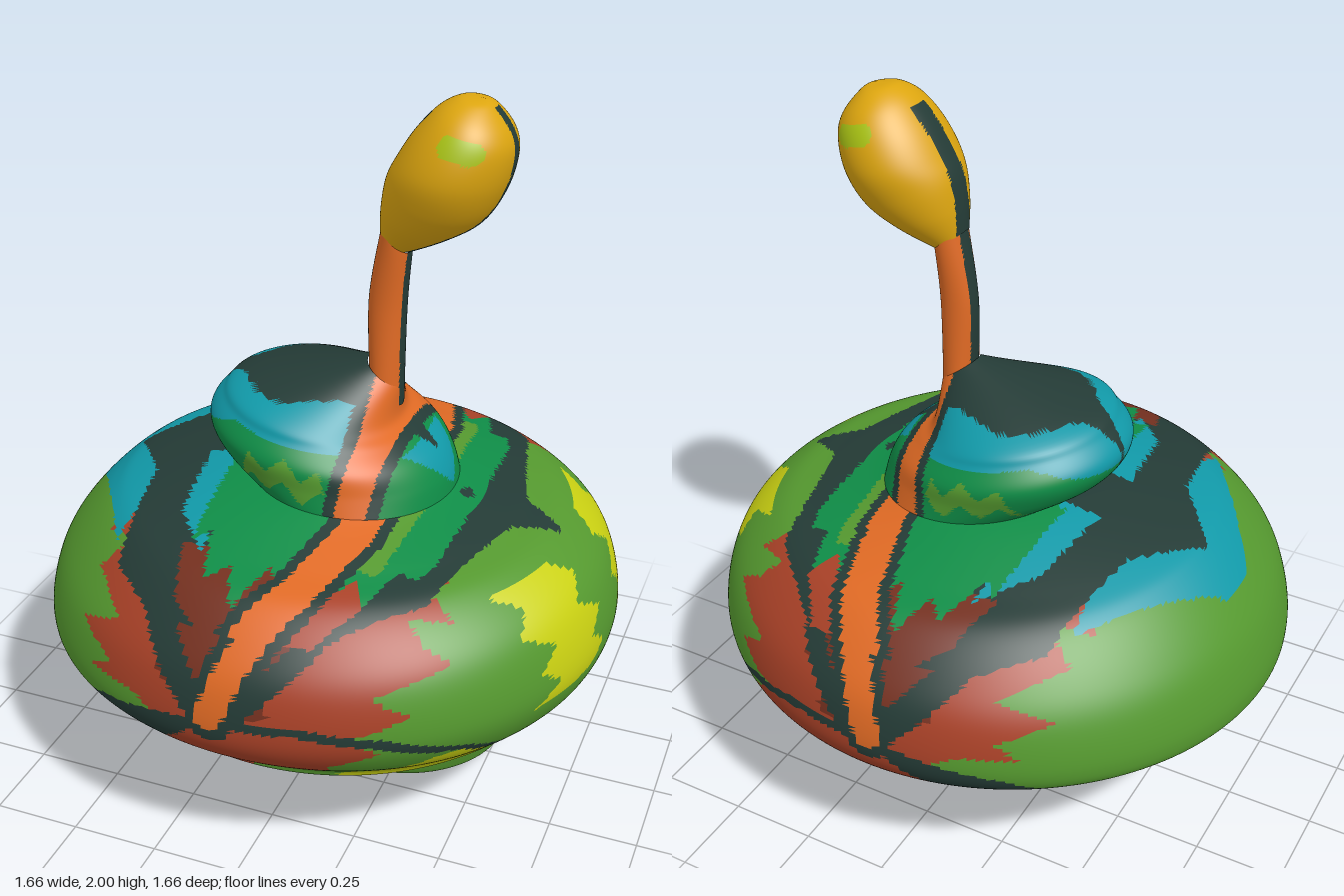
import * as THREE from 'three';

const COLORS = {
  leafGreen: 0x55992f, darkPine: 0x243b36, rust: 0xa94127, darkRust: 0x74301f, orange: 0xe06a24,
  teal: 0x1199a8, emerald: 0x0f8d47, yellow: 0xc9d012, gold: 0xdca50f, lime: 0xaac414,
};
const NAMES = Object.keys(COLORS);

// Point in polygon, and distance to a polyline, for painted patches
function inside(p, q, poly) {
  let hit = false;
  poly.forEach(([a, b], i) => {
    const [c, d] = poly.at(i - 1);
    if ((b > q) !== (d > q) && p < ((c - a) * (q - b)) / (d - b) + a) hit = !hit;
  });
  return hit;
}
function nearLine(p, q, pts, width) {
  return pts.slice(1).some(([c, d], i) => {
    const [a, b] = pts[i], dx = c - a, dy = d - b;
    const t = THREE.MathUtils.clamp(((p - a) * dx + (q - b) * dy) / (dx * dx + dy * dy), 0, 1);
    return Math.hypot(p - a - t * dx, q - b - t * dy) < width / 2;
  });
}

// Zigzag for flame-like edges
const zigzag = (t) => Math.asin(Math.sin(t * 60)) * 0.5 + Math.sin(t * 23) * 0.3;

// Patches lie on a plane of projection, mirrored in z; later ones lie on top
const patch = (color, plane, pts, opts = {}) => ({ color, plane, pts, ...opts });
function paint(base, patches, x, y, z) {
  let color = base;
  for (const { color: next, plane, pts, width, jag = 0, jagUp = 0 } of patches) {
    if (plane === 'side' && x < 0.15) continue;
    const p = plane === 'side' ? z : x, q = plane === 'top' ? z : y;
    const hit = width ? nearLine(p, q, pts, width) : inside(p + jag * zigzag(q), q + jagUp * zigzag(p), pts);
    if (hit) color = next;
  }
  return color;
}
// Orange vein edged with a dark line on each side
const vein = (plane, pts, width) => [
  patch('darkPine', plane, pts, { width: width + 0.06 }),
  patch('orange', plane, pts, { width }),
];

// Smooth loft through tilted rings [leftX, leftY, rightX, rightY, halfDepth]
function loft(name, rows, sectors, steps, colorAt, materials) {
  const pos = [], n = (rows.length - 1) * steps;
  const row = (j) => rows[THREE.MathUtils.clamp(j, 0, rows.length - 1)];
  for (let i = 0; i <= n; i++) {
    const k = Math.min(Math.floor(i / steps), rows.length - 2), t = i / steps - k;
    const [xl, yl, xr, yr, hz] = rows[0].map((_, c) => {
      const [a, b, d, e] = [-1, 0, 1, 2].map((o) => row(k + o)[c]);
      return b + 0.5 * t * (d - a + t * (2 * a - 5 * b + 4 * d - e + t * (3 * (b - d) + e - a)));
    });
    for (let s = 0; s < sectors; s++) {
      const a = (s / sectors) * Math.PI * 2, c = Math.cos(a);
      pos.push((xl + xr) / 2 + ((xr - xl) / 2) * c, Math.max(0, (yl + yr) / 2 + ((yr - yl) / 2) * c), hz * Math.sin(a));
    }
  }
  const buckets = NAMES.map(() => []);
  const face = (...v) => {
    const [x, y, z] = [0, 1, 2].map((c) => v.reduce((sum, i) => sum + pos[i * 3 + c], 0) / 3);
    buckets[NAMES.indexOf(colorAt(x, y, Math.abs(z)))].push(...v);
  };
  for (let i = 0; i < n; i++) for (let s = 0; s < sectors; s++) {
    const a = i * sectors + s, b = i * sectors + ((s + 1) % sectors);
    face(a, a + sectors, b);
    face(b, a + sectors, b + sectors);
  }
  const geo = new THREE.BufferGeometry();
  geo.setAttribute('position', new THREE.Float32BufferAttribute(pos, 3));
  geo.setIndex(buckets.flat());
  let start = 0;
  buckets.forEach((b, i) => {
    if (b.length) geo.addGroup(start, b.length, i);
    start += b.length;
  });
  geo.computeVertexNormals();
  const mesh = new THREE.Mesh(geo, materials);
  mesh.name = name;
  return mesh;
}

// Yellow flashes on the flank
const flank = patch('yellow', 'side', [[.36, .8], [.13, .8], [.13, .51], [.36, .5]], { jag: .05 });

// Upper face of the body
const bodyTop = [
  patch('rust', 'top', [[-.47, .4], [-.4, .75], [-.3, .9], [.5, .9], [.44, .4]], { jag: .06 }),
  patch('teal', 'top', [[-.76, 0], [-.45, .49], [-.4, 0]]),
  patch('darkPine', 'top', [[-.62, 0], [-.47, .2], [-.41, .56], [-.1, .83], [.1, .82], [.44, .5], [.5, .25], [.55, .08], [.68, 0]]),
  patch('darkRust', 'top', [[-.24, .5], [-.19, .66], [-.05, .77], [.1, .5]]),
  patch('teal', 'top', [[-.34, .1], [-.3, .38], [-.18, .53], [-.2, .1]]),
  patch('emerald', 'top', [[-.25, .1], [-.22, .5], [-.03, .62], [.1, .58], [.12, .1]], { jagUp: .07 }),
  patch('emerald', 'top', [[.2, 0], [.18, .6], [.3, .55], [.42, .35], [.44, 0]], { jagUp: .05 }),
  patch('leafGreen', 'top', [[.2, .1], [.2, .53], [.3, .42], [.33, .1]], { jagUp: .05 }),
  patch('rust', 'top', [[.25, .5], [.12, .73], [.2, .72], [.3, .58]]),
  ...vein('top', [[.2, .1], [.19, .35], [.12, .6], [.02, .77]], .1),
  flank,
];

// Rim and underside of the body
const bodyRim = [
  patch('rust', 'front', [[-.45, .85], [-.38, .56], [.42, .56], [.5, .82]], { jag: .08 }),
  patch('darkRust', 'front', [[-.18, .8], [-.14, .6], [.1, .58], [.19, .8]], { jag: .05 }),
  patch('rust', 'front', [[-.2, .56], [-.22, .3], [.08, .33], [.32, .45], [.36, .56]], { jag: .06 }),
  patch('yellow', 'front', [[.25, .26], [.34, .38], [.6, .46], [.65, .36], [.5, .26]], { jag: .05 }),
  patch('darkPine', 'front', [[-.02, .57], [-.39, .49], [-.7, .31], [-.2, .2], [-.05, .25], [-.25, .32], [-.2, .42]]),
  patch('darkPine', 'front', [[-.02, .56], [.2, .565], [.4, .53], [.58, .46], [.72, .31]], { width: .026 }),
  patch('darkPine', 'front', [[-.24, .78], [-.05, .57]], { width: .08 }),
  patch('darkPine', 'front', [[.22, .78], [.02, .57]], { width: .06 }),
  ...vein('front', [[.08, .8], [.02, .7], [-.03, .57]], .08),
  flank,
];

const footPaint = [patch('yellow', 'front', [[-.08, .27], [-.07, .2], [.4, .19], [.4, .27]], { jagUp: .03 })];

const lobePaint = [
  patch('leafGreen', 'front', [[-.18, .97], [-.14, 1.03], [.07, 1.03], [.09, .96]], { jagUp: .03 }),
  patch('teal', 'front', [[-.4, 1.04], [-.2, 1.11], [.14, 1.06], [.25, 1.3], [-.4, 1.3]]),
  patch('darkPine', 'top', [[-.37, 0], [-.25, .06], [-.17, .17], [-.08, .21], [.17, .12], [.17, 0]]),
  patch('teal', 'side', [[0, 1.04], [.14, 1.03], [0, .9]]),
  patch('darkPine', 'side', [[0, 1.12], [.04, 1.06], [0, 1]]),
  ...vein('front', [[.18, 1.22], [.18, 1.07], [.15, .86]], .08),
];

const bulbPaint = [patch('lime', 'front', [[.35, 1.905], [.41, 1.89]], { width: .055 })];

// Dark seam along both ends of the foot, and its dark sloping base
function footColor(x, y, z) {
  const seam = z < (x < 0 ? .08 : .012), slope = y < .055;
  return y > .004 && (seam || slope) ? 'darkPine' : paint('leafGreen', footPaint, x, y, z);
}
// Dark stripe up each side of the bulb, widest near the stem
function bulbColor(x, y, z) {
  const right = x > .2 + (y - 1.6) * .5;
  const half = right ? .018 + .04 * Math.exp(-(((y - 1.64) / .07) ** 2)) : .035;
  return z < half && (right ? y < 1.98 : x < .27) ? 'darkPine' : paint('gold', bulbPaint, x, y, z);
}

export function createModel() {
  const materials = NAMES.map((name) => {
    const m = new THREE.MeshStandardMaterial({ color: COLORS[name] });
    m.name = name;
    return m;
  });
  const model = new THREE.Group();
  model.name = 'gourdOrnament';
  const add = (name, rows, sectors, steps, colorAt) => model.add(loft(name, rows, sectors, steps, colorAt, materials));

  // Small foot with a sloping base
  add('foot', [[.055, 0, .055, 0, 0], [-.03, 0, .14, 0, .07], [-.1, .06, .48, .06, .27], [-.122, .13, .55, .12, .325],
    [-.12, .26, .565, .26, .34]], 140, 10, footColor);

  // Wide round body
  add('body', [[-.12, .25, .565, .25, .34], [-.59, .32, .68, .31, .65], [-.65, .37, .73, .35, .7], [-.8, .43, .8, .43, .79],
    [-.83, .5, .83, .53, .83], [-.8, .63, .81, .65, .81], [-.74, .73, .76, .74, .75], [-.64, .83, .66, .815, .65],
    [-.55, .875, .55, .845, .53], [-.3, .93, .35, .89, .36], [-.1, .95, .25, .95, .2]], 220, 13,
  (x, y, z) => paint('leafGreen', y > .755 ? bodyTop : bodyRim, x, y, z));

  // Tilted lobe on top of the body
  add('upperLobe', [[-.22, .93, .36, .87, .33], [-.32, 1, .345, .94, .325], [-.355, 1.07, .31, 1, .325], [-.32, 1.13, .25, 1.05, .29],
    [-.24, 1.18, .2, 1.09, .25], [.1, 1.25, .2, 1.18, .06]], 160, 10, (x, y, z) => paint('emerald', lobePaint, x, y, z));

  // Stem striped on both sides
  add('stem', [[.105, 1.22, .2, 1.12, .06], [.1, 1.43, .205, 1.4, .05], [.135, 1.64, .215, 1.57, .06]], 64, 16,
    (x, y, z) => (z < .024 ? 'darkPine' : 'orange'));

  // Leaning bulb
  add('bulb', [[.13, 1.63, .215, 1.57, .055], [.135, 1.7, .32, 1.62, .11], [.15, 1.78, .41, 1.68, .15], [.18, 1.84, .465, 1.77, .17],
    [.225, 1.91, .487, 1.86, .155], [.28, 1.97, .475, 1.92, .12], [.33, 1.998, .43, 1.98, .06], [.37, 2, .4, 1.997, 0]], 96, 9, bulbColor);
  return model;
}
